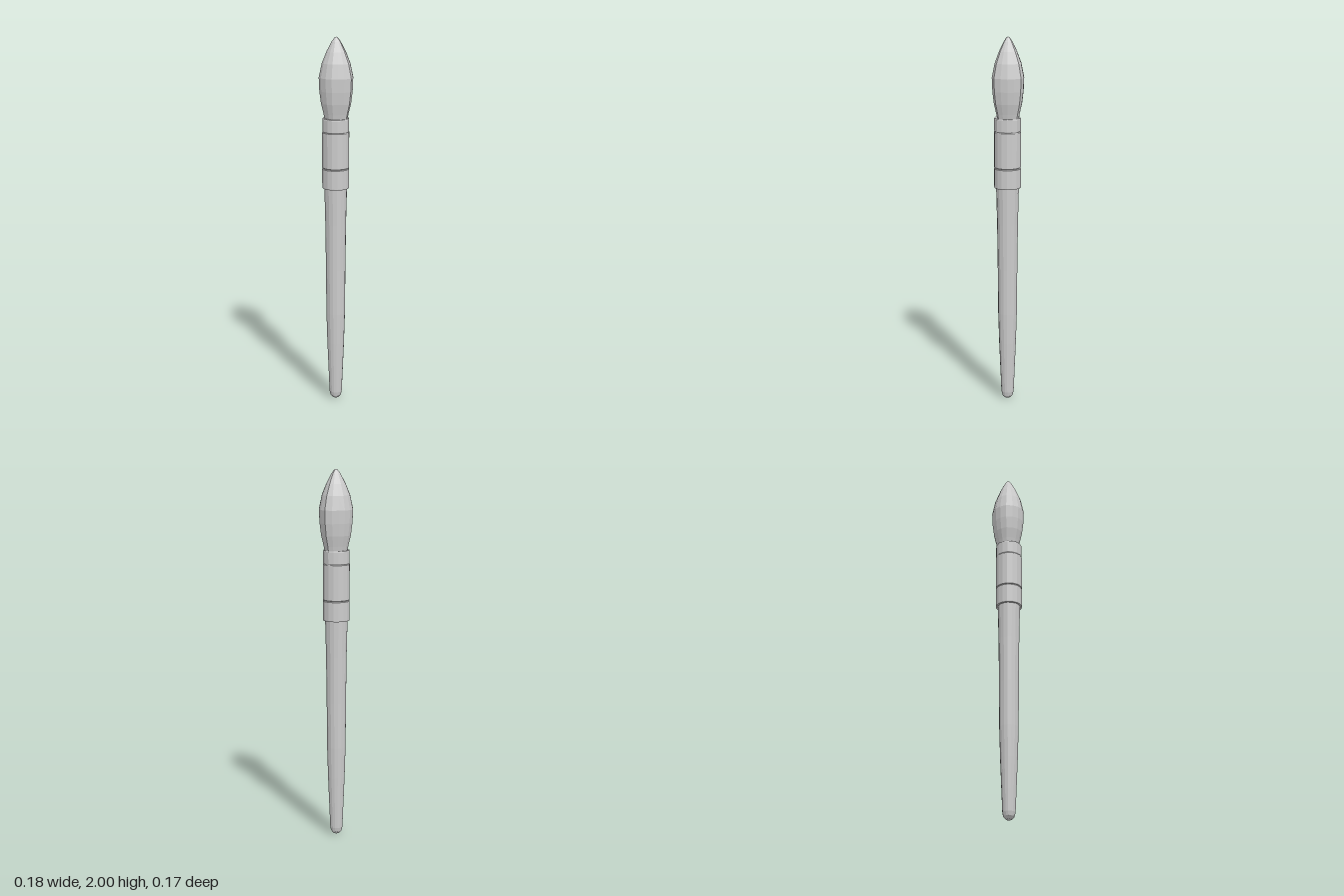
import * as THREE from 'three';

const SIDES = 16;
const material = new THREE.MeshStandardMaterial({ color: 0xcccccc, flatShading: true, side: THREE.DoubleSide });

// Faceted turned part from [radius, height] pairs
function turned(name, profile) {
  const points = profile.map(([r, y]) => new THREE.Vector2(r, y));
  const mesh = new THREE.Mesh(new THREE.LatheGeometry(points, SIDES), material);
  mesh.name = name;
  return mesh;
}

// Scale each column of a turned part by its own factor, to give an uneven outline
function reshape(mesh, factors, fromY = -Infinity) {
  const p = mesh.geometry.attributes.position;
  for (let i = 0; i < p.count; i++) {
    if (p.getY(i) < fromY) continue;
    const a = Math.atan2(p.getX(i), p.getZ(i));
    const k = (Math.round((a / (2 * Math.PI)) * SIDES) + SIDES) % SIDES;
    p.setX(i, p.getX(i) * factors[k]);
    p.setZ(i, p.getZ(i) * factors[k]);
  }
  mesh.geometry.computeVertexNormals();
}

export function createModel() {
  const brush = new THREE.Group();
  brush.name = 'paintbrush';

  // Long tapering handle with a rounded end
  const handle = turned('handle', [
    [0, 0], [0.017, 0.006], [0.029, 0.02], [0.034, 0.042], [0.039, 0.16], [0.046, 0.33],
    [0.051, 0.5], [0.053, 0.75], [0.056, 1.0], [0.061, 1.21],
  ]);

  // Metal sleeve with two crimped grooves and a slight lip
  const ferrule = turned('ferrule', [
    [0.058, 1.2], [0.071, 1.2], [0.072, 1.205], [0.072, 1.304], [0.069, 1.308], [0.072, 1.312],
    [0.072, 1.5], [0.069, 1.504], [0.071, 1.508], [0.071, 1.57], [0.069, 1.575], [0.055, 1.575],
  ]);
  // The upper band has two soft corners on the +x side
  reshape(ferrule, [1, 1, 1.04, 1, 1, 1, 1.04, 1, 1, 1, 1, 1, 1, 1, 1, 1], 1.503);

  // Pointed bristle head, with two ridges on the +x side
  const bristles = turned('bristles', [
    [0.058, 1.56], [0.066, 1.6], [0.079, 1.655], [0.087, 1.72], [0.09, 1.79],
    [0.074, 1.865], [0.05, 1.925], [0.024, 1.975], [0.01, 1.995], [0, 2],
  ]);
  reshape(bristles, [
    0.92, 1.0, 1.1, 1.02, 1.0, 1.02, 1.11, 1.01,
    0.94, 0.98, 1.0, 1.02, 1.02, 1.02, 1.0, 0.98,
  ]);

  for (const part of [handle, ferrule]) part.position.set(-0.003, 0, 0.003);
  brush.add(handle, ferrule, bristles);
  return brush;
}
